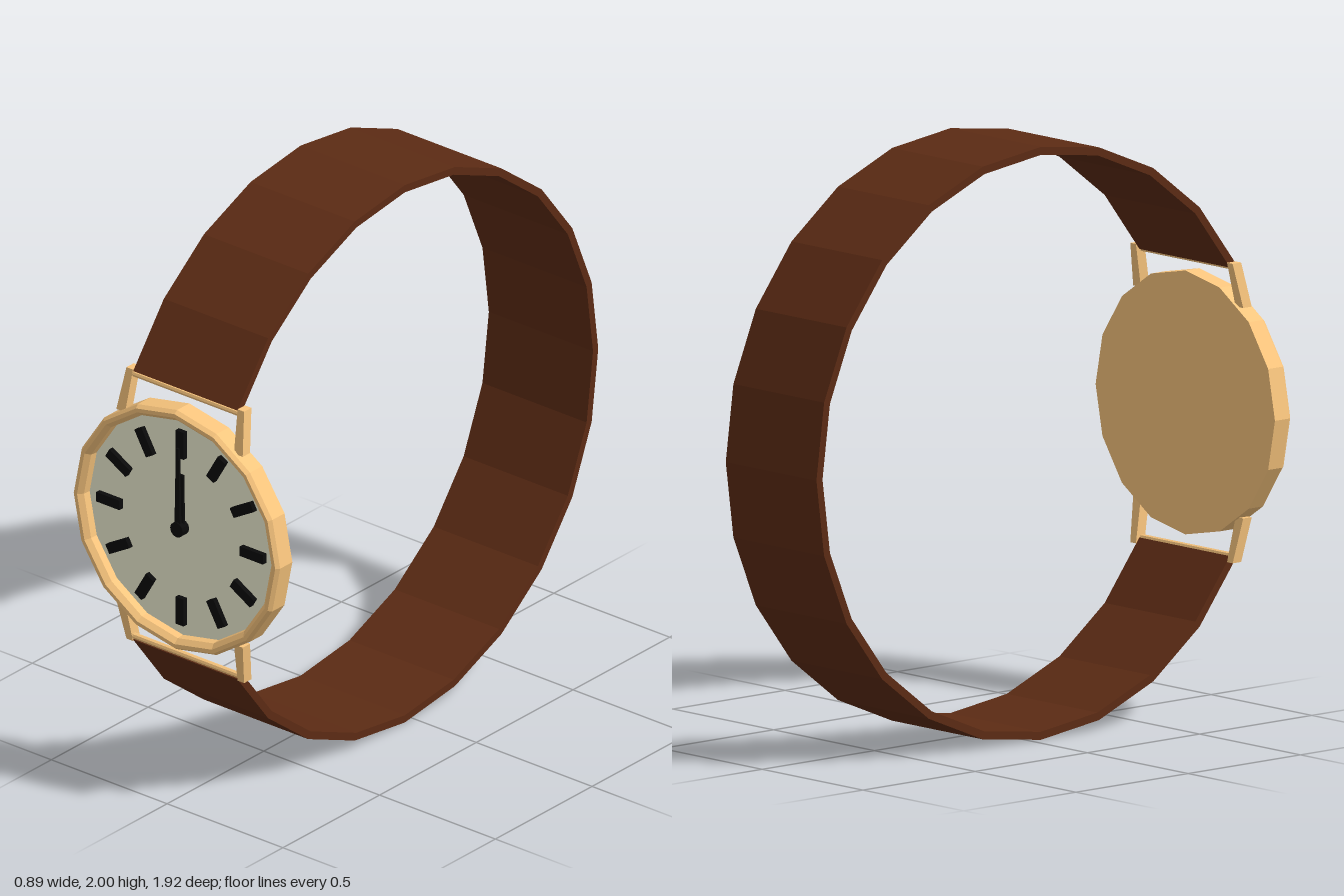
import * as THREE from 'three';

const material = (color) => new THREE.MeshStandardMaterial({ color, flatShading: true });
const CY = 1;         // height of the dial centre
const FACE_Z = 0.918; // surface of the dial

export function createModel() {
  const model = new THREE.Group();
  model.name = 'wristwatch';
  const gold = material(0xfac67e);
  const leather = material(0x5c2b14);
  const cream = material(0xf3f3d6);
  const black = material(0x0a0a0a);

  const add = (name, geometry, mat, parent = model) => {
    const mesh = new THREE.Mesh(geometry, mat);
    mesh.name = name;
    parent.add(mesh);
    return mesh;
  };

  // Strap: 24-gon band left open at the case
  const strap = new THREE.ExtrudeGeometry(strapShape(0.04, CY, 1, 0.973), { depth: 0.45, bevelEnabled: false });
  strap.translate(0, 0, -0.225).rotateY(-Math.PI / 2);
  add('strap', strap, leather);

  // Case: sixteen-sided dish with a chamfered bezel
  const profile = [
    [0, 0.885], [0.445, 0.885], [0.445, 0.948], [0.435, 0.962],
    [0.421, 0.962], [0.405, 0.945], [0.402, 0.905],
  ].map(([r, z]) => new THREE.Vector2(r, z));
  const watchCase = add('case', new THREE.LatheGeometry(profile, 16).rotateX(Math.PI / 2), gold);
  watchCase.position.y = CY;

  // Dial
  const dial = add('dial', new THREE.CylinderGeometry(0.404, 0.404, 0.015, 16).rotateX(Math.PI / 2), cream);
  dial.position.set(0, CY, FACE_Z - 0.0075);

  // Hour markers
  const markers = new THREE.Group();
  markers.name = 'hourMarkers';
  markers.position.set(0, CY, FACE_Z + 0.009);
  model.add(markers);
  for (let i = 0; i < 12; i++) {
    const marker = new THREE.BoxGeometry(0.035, 0.1, 0.018).translate(0, 0.31, 0);
    add('hourMarker', marker.rotateZ((-i * Math.PI) / 6), black, markers);
  }

  // Hands, both pointing up
  const hand = (name, length, base, tip, z) => {
    const outline = new THREE.Shape([
      new THREE.Vector2(-base, 0), new THREE.Vector2(base, 0),
      new THREE.Vector2(tip, length), new THREE.Vector2(-tip, length),
    ]);
    const geometry = new THREE.ExtrudeGeometry(outline, { depth: 0.008, bevelEnabled: false });
    add(name, geometry, black).position.set(0, CY, z);
  };
  hand('hourHand', 0.2, 0.018, 0.014, FACE_Z + 0.01);
  hand('minuteHand', 0.3, 0.012, 0.006, FACE_Z + 0.022);
  const hub = add('handHub', new THREE.CylinderGeometry(0.027, 0.027, 0.034, 12).rotateX(Math.PI / 2), black);
  hub.position.set(0, CY, FACE_Z + 0.017);

  // Lugs and strap bars, mirrored above and below
  for (const v of [1, -1]) {
    for (const s of [1, -1]) add('lug', lugGeometry(s, v), gold).position.y = CY;
    const bar = add('strapBar', new THREE.CylinderGeometry(0.011, 0.011, 0.47, 8).rotateZ(Math.PI / 2), gold);
    bar.position.set(0, CY + v * 0.488, 0.898);
  }
  return model;
}

// Closed outline of the band: outer arc, then the inner arc back again
function strapShape(cx, cy, outer, inner) {
  const segments = 20;
  const arc = (r) => Array.from({ length: segments + 1 }, (_, i) => {
    const a = Math.PI / 6 + (i * Math.PI) / 12;
    return new THREE.Vector2(cx + r * Math.cos(a), cy + r * Math.sin(a));
  });
  return new THREE.Shape([...arc(outer), ...arc(inner).reverse()]);
}

// Box leaning back and inwards towards the strap; s picks the side, v the end
function lugGeometry(s, v) {
  const geometry = new THREE.BoxGeometry(1, 1, 1);
  const p = geometry.attributes.position;
  for (let i = 0; i < p.count; i++) {
    const t = v * p.getY(i) + 0.5; // 0 at the case, 1 at the strap
    const x = s * (0.254 - 0.014 * t) + p.getX(i) * (0.038 - 0.01 * t);
    const z = 0.917 - 0.03 * t + p.getZ(i) * 0.038;
    p.setXYZ(i, x, v * (0.355 + 0.15 * t), z);
  }
  geometry.computeVertexNormals();
  return geometry;
}
